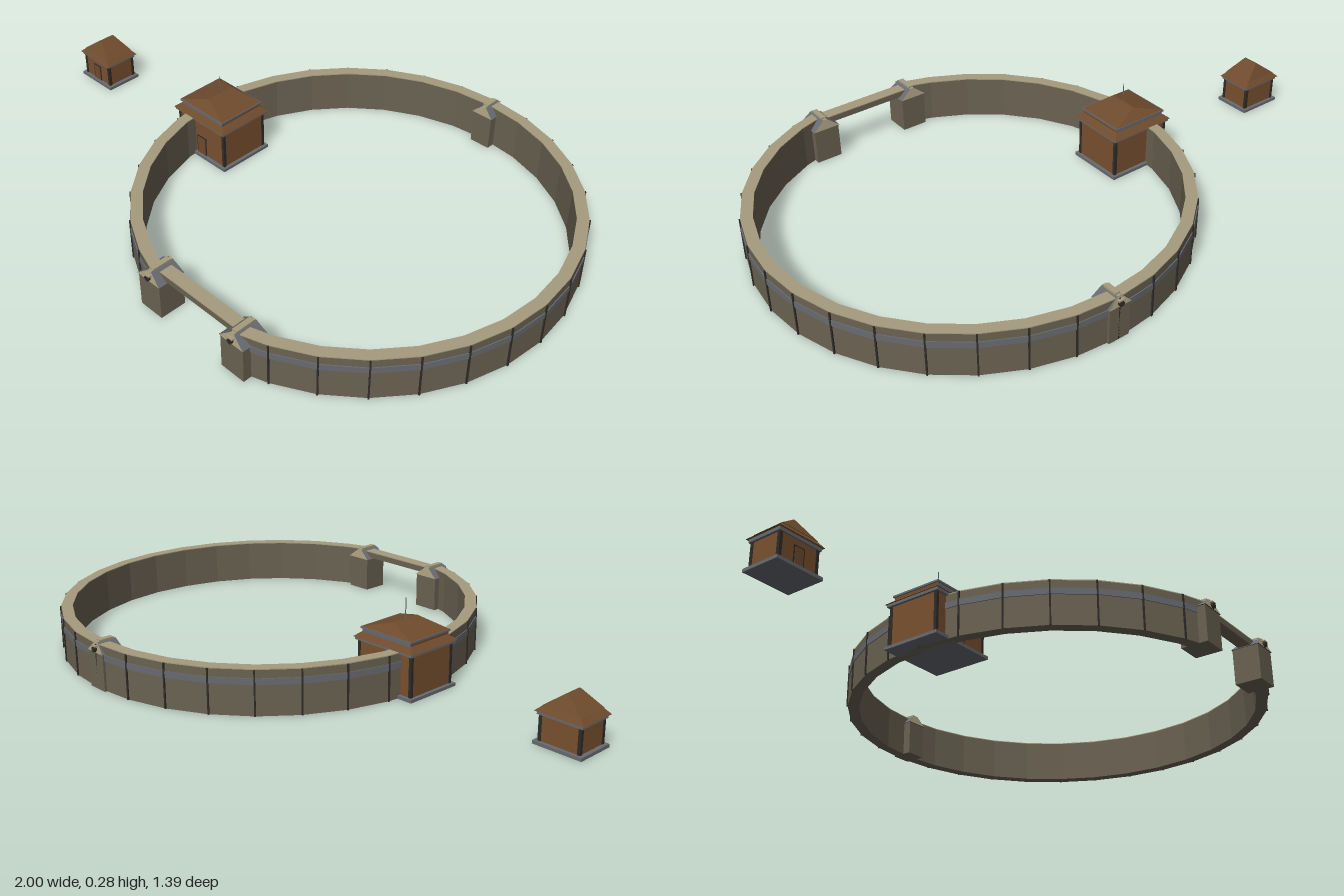
import * as THREE from 'three';

const mat = (name, color) => new THREE.MeshStandardMaterial({ name, color });

export function createModel() {
  const wall = mat('wall stone', 0x6a6252);
  const tan = mat('coping stone', 0xa69b7e);
  const slate = mat('slate trim', 0x676a70);
  const dark = mat('dark joints', 0x2f2c28);
  const timber = mat('timber', 0x79502f);
  const roofMat = mat('roof brown', 0x6f4b2d);

  const model = new THREE.Group();
  const CX = 0.305, R = 0.69, RI = 0.653, H = 0.145, STEP = Math.PI / 16;

  const add = (parent, name, geo, material, x = 0, y = 0, z = 0) => {
    const m = new THREE.Mesh(geo, material);
    m.name = name;
    m.position.set(x, y, z);
    parent.add(m);
    return m;
  };
  // Box given by its base height and top height
  const block = (parent, name, w, d, y0, y1, material, x = 0, z = 0) =>
    add(parent, name, new THREE.BoxGeometry(w, y1 - y0, d), material, x, (y0 + y1) / 2, z);
  // Box whose top is resized: hip roofs and sloping eaves
  const taper = (parent, name, [w0, d0], [w1, d1], y0, y1, material) => {
    const g = new THREE.BoxGeometry(1, 1, 1).toNonIndexed();
    const p = g.attributes.position;
    for (let i = 0; i < p.count; i++) {
      const top = p.getY(i) > 0;
      p.setXYZ(i, p.getX(i) * (top ? w1 : w0), top ? y1 : y0, p.getZ(i) * (top ? d1 : d0));
    }
    g.computeVertexNormals();
    return add(parent, name, g, material);
  };
  const group = (name, x, z) => {
    const g = new THREE.Group();
    g.name = name;
    g.position.set(x, 0, z);
    model.add(g);
    return g;
  };

  // Ring wall: a faceted arc, open at the front gate
  const gap = 0.25, angles = [Math.PI / 2 + gap];
  for (let i = 10; i <= 38; i++) angles.push(i * STEP);
  angles.push(Math.PI * 2.5 - gap);
  const arc = (name, ri, ro, y0, y1, material) => {
    const pt = (r) => (a) => new THREE.Vector2(r * Math.cos(a), -r * Math.sin(a));
    const shape = new THREE.Shape([...angles.map(pt(ro)), ...angles.map(pt(ri)).reverse()]);
    const g = new THREE.ExtrudeGeometry(shape, { depth: y1 - y0, bevelEnabled: false });
    g.rotateX(-Math.PI / 2);
    add(model, name, g, material, CX, y0, 0);
  };
  arc('ringWall', RI, R, 0, H - 0.003, wall);
  arc('wallCoping', RI, R, H - 0.003, H, tan);
  arc('wallBand', R - 0.004, R + 0.003, 0.097, 0.117, slate);

  // Dark panel joints on the outside
  for (let i = 10; i <= 38; i++) {
    const a = i * STEP;
    const rib = block(model, 'panelJoint', 0.006, 0.005, 0, H - 0.002, dark,
      CX + (R + 0.001) * Math.cos(a), (R + 0.001) * Math.sin(a));
    rib.rotation.y = -a;
  }

  // Beam over the gate
  block(model, 'gateBeam', 0.3, 0.042, 0.122, H - 0.003, wall, CX, 0.635);
  block(model, 'gateBeamCoping', 0.3, 0.042, H - 0.003, H, tan, CX, 0.635);

  // Wall towers with a small gabled cap
  const tower = (name, x, z, s, out) => {
    const t = group(name, x, z);
    block(t, 'towerBody', s, s, 0, 0.118, wall);
    const w = s + 0.006;
    taper(t, 'towerRoof', [w, w], [0.014, w - 0.014], 0.118, 0.15,
      [slate, slate, tan, dark, tan, tan]);
    block(t, 'ridgeCap', 0.018, s - 0.024, 0.147, 0.155, tan);
    const lamp = add(t, 'towerLamp', new THREE.CylinderGeometry(0.009, 0.009, 0.014, 10), dark,
      0, 0.128, out * (s / 2 + 0.002));
    lamp.rotation.x = Math.PI / 2;
    add(t, 'lampHood', new THREE.BoxGeometry(0.022, 0.004, 0.016), tan, 0, 0.139, out * (s / 2));
  };
  tower('gateTowerRight', CX - 0.17, 0.638, 0.088, 1);
  tower('gateTowerLeft', CX + 0.17, 0.638, 0.088, 1);
  tower('backTower', CX, -0.658, 0.072, -1);

  // Timber body with base plate, corner posts and a front door
  const body = (g, w, d, top, plateW, plateD, doorW, doorH) => {
    block(g, 'basePlate', plateW, plateD, 0, 0.01, slate);
    block(g, 'body', w, d, 0.01, top, timber);
    for (const sx of [-1, 1]) for (const sz of [-1, 1])
      block(g, 'cornerPost', 0.01, 0.01, 0.01, top, dark, sx * (w / 2 - 0.003), sz * (d / 2 - 0.003));
    block(g, 'doorFrame', doorW + 0.008, 0.004, 0.01, doorH + 0.004, dark, 0, d / 2);
    block(g, 'door', doorW, 0.006, 0.01, doorH, roofMat, 0, d / 2);
  };

  // Main house on the wall, with a stepped roof and mast
  const house = group('mainHouse', -0.31, 0);
  body(house, 0.215, 0.178, 0.145, 0.238, 0.2, 0.035, 0.075);
  block(house, 'eaveTrim', 0.232, 0.196, 0.14, 0.149, slate);
  taper(house, 'lowerRoof', [0.24, 0.205], [0.195, 0.165], 0.149, 0.167, roofMat);
  block(house, 'clerestory', 0.196, 0.168, 0.158, 0.178,
    [roofMat, roofMat, roofMat, dark, slate, slate]);
  block(house, 'upperEave', 0.204, 0.176, 0.176, 0.182, slate);
  taper(house, 'upperRoof', [0.2, 0.172], [0.008, 0.105], 0.182, 0.21, roofMat);
  add(house, 'mast', new THREE.CylinderGeometry(0.0015, 0.0015, 0.07, 6), slate, 0, 0.242, 0);

  // Outlying hut
  const hut = group('hut', -0.92, 0);
  body(hut, 0.134, 0.108, 0.09, 0.16, 0.13, 0.03, 0.065);
  block(hut, 'eaveTrim', 0.148, 0.118, 0.087, 0.097, slate);
  taper(hut, 'lowerRoof', [0.16, 0.13], [0.122, 0.104], 0.097, 0.114, roofMat);
  taper(hut, 'upperRoof', [0.126, 0.108], [0.006, 0.055], 0.114, 0.16, roofMat);

  return model;
}
